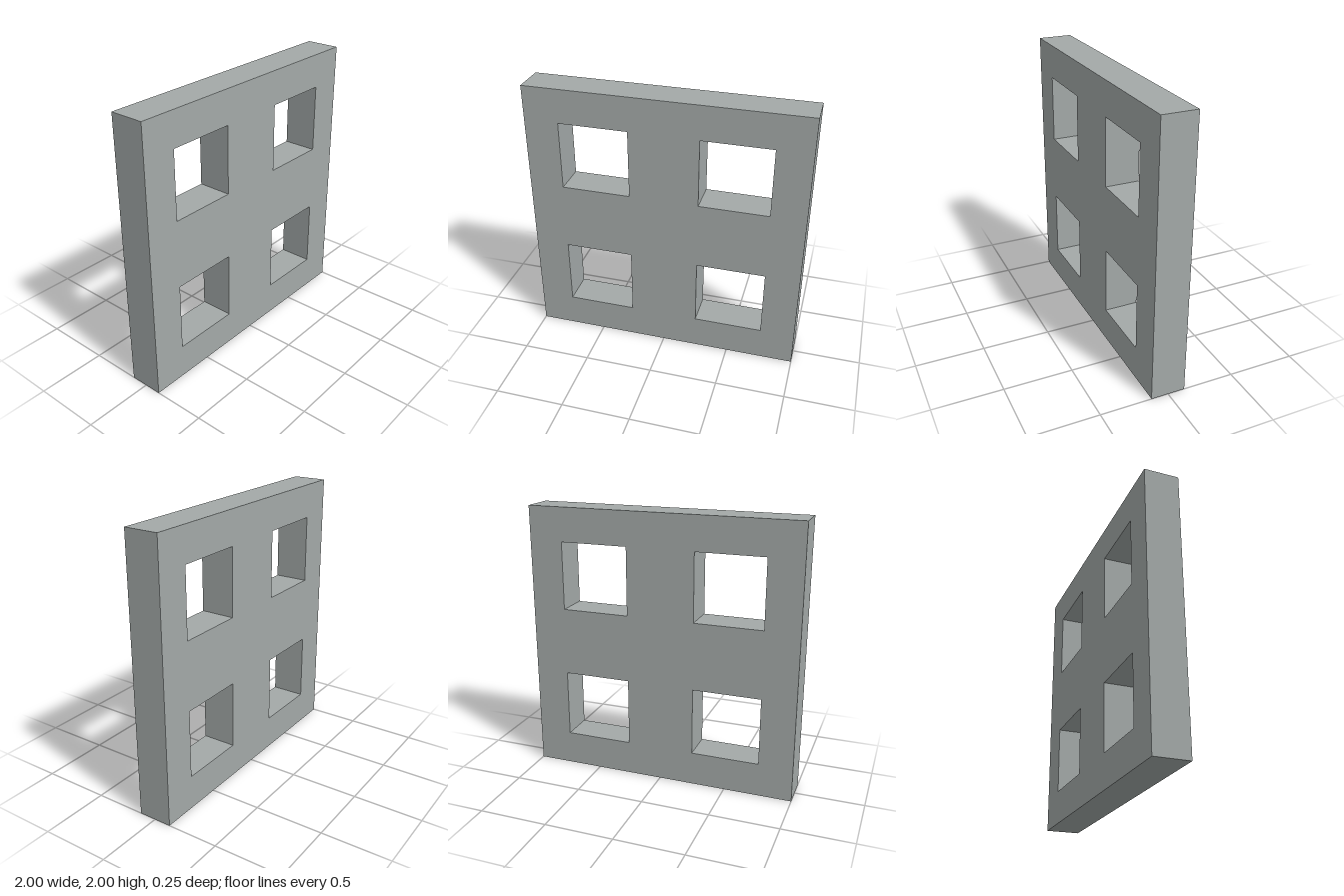
import * as THREE from 'three';

const SIZE = 2, DEPTH = 0.25, HOLE = 0.5;

// Closed square path, centred on (cx, cy)
function square(path, cx, cy, size) {
  const h = size / 2;
  path.moveTo(cx - h, cy - h);
  path.lineTo(cx + h, cy - h);
  path.lineTo(cx + h, cy + h);
  path.lineTo(cx - h, cy + h);
  path.closePath();
  return path;
}

export function createModel() {
  const group = new THREE.Group();
  group.name = 'windowWall';

  const grey = new THREE.MeshStandardMaterial({ color: 0xa3a9a8 });
  grey.name = 'concreteGrey';

  // Square panel with a two by two grid of openings
  const outline = square(new THREE.Shape(), 0, SIZE / 2, SIZE);
  for (const x of [-0.5, 0.5]) {
    for (const y of [0.5, 1.5]) {
      outline.holes.push(square(new THREE.Path(), x, y, HOLE));
    }
  }
  const geometry = new THREE.ExtrudeGeometry(outline, { depth: DEPTH, bevelEnabled: false });
  geometry.translate(0, 0, -DEPTH / 2);

  const panel = new THREE.Mesh(geometry, grey);
  panel.name = 'wallPanel';
  group.add(panel);
  return group;
}
